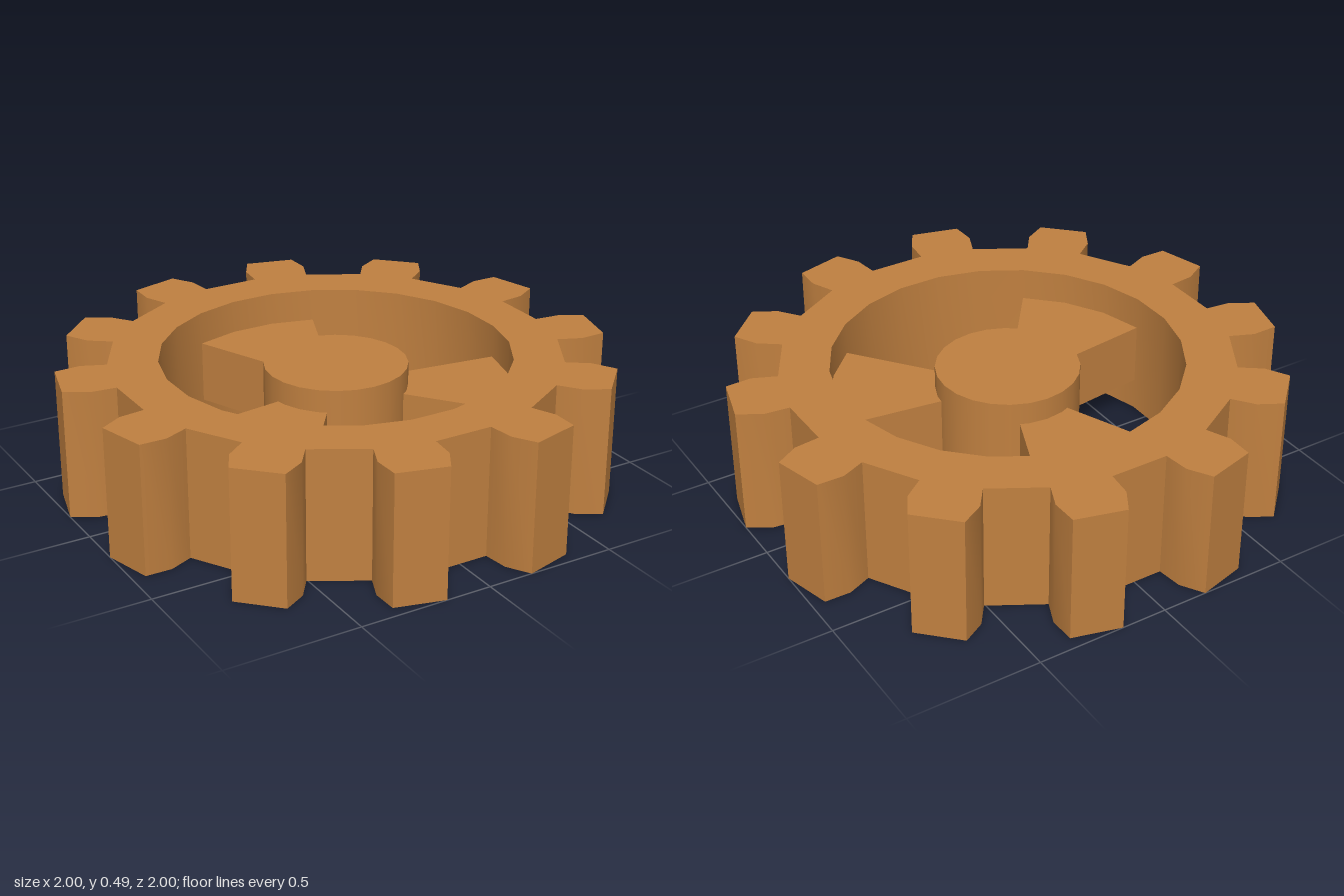
import * as THREE from 'three';
import { toCreasedNormals } from 'three/addons/utils/BufferGeometryUtils.js';

const HEIGHT = 0.487, HOLE_R = 0.645, HUB_R = 0.265;
const HUB_INSET = 0.04, SPOKE_INSET = 0.125;
const rad = THREE.MathUtils.degToRad;
const polar = (r, deg) => new THREE.Vector2(r * Math.cos(rad(deg)), r * Math.sin(rad(deg)));

export function createModel() {
  const group = new THREE.Group();
  const material = new THREE.MeshStandardMaterial({ color: 0xc08040 });

  // Extrudes a plan outline upwards, leaving the same inset above and below
  const addPart = (name, shape, inset) => {
    const extruded = new THREE.ExtrudeGeometry(shape, { depth: HEIGHT - 2 * inset, bevelEnabled: false });
    extruded.rotateX(-Math.PI / 2).translate(0, inset, 0);
    const mesh = new THREE.Mesh(toCreasedNormals(extruded, rad(35)), material);
    mesh.name = name;
    group.add(mesh);
  };

  // Toothed ring: each tooth is root, flank, tip, tip, flank, root
  const toothProfile = [[0.828, -7.4], [0.924, -7.5], [1.0145, -5.3], [1.0145, 5.3], [0.924, 7.5], [0.828, 7.4]];
  const outline = [];
  for (let i = 0; i < 12; i++) {
    for (const [r, a] of toothProfile) outline.push(polar(r, 15 + 30 * i + a));
  }
  const ring = new THREE.Shape(outline);
  const hole = [];
  for (let i = 0; i < 24; i++) hole.push(polar(HOLE_R, 7.5 - 15 * i));
  ring.holes.push(new THREE.Path(hole));
  addPart('toothedRing', ring, 0);

  // Three wedge spokes, recessed from both faces and let into hub and ring
  for (const centre of [90, 210, 330]) {
    const wedge = [polar(HUB_R - 0.02, centre + 22.5), polar(HUB_R - 0.02, centre - 22.5)];
    for (const a of [-22.5, -7.5, 7.5, 22.5]) wedge.push(polar(HOLE_R + 0.01, centre + a));
    addPart('spoke', new THREE.Shape(wedge), SPOKE_INSET);
  }

  // Central hub
  const hub = new THREE.Mesh(new THREE.CylinderGeometry(HUB_R, HUB_R, HEIGHT - 2 * HUB_INSET, 24), material);
  hub.name = 'hub';
  hub.position.y = HEIGHT / 2;
  group.add(hub);

  return group;
}
